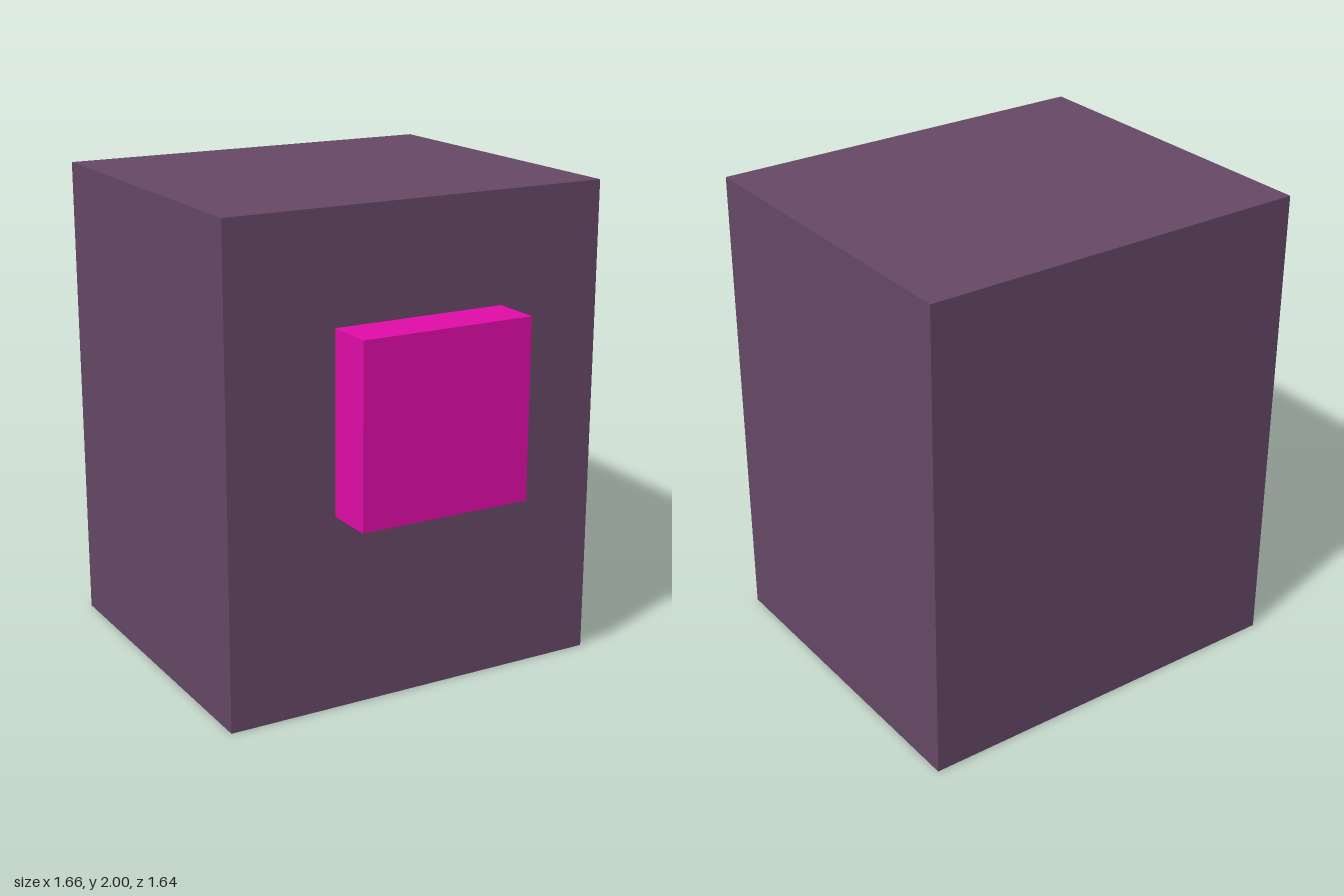
import * as THREE from 'three';

// Box given by its minimum and maximum corners
function block(name, color, min, max) {
  const size = max.map((v, i) => v - min[i]);
  const mesh = new THREE.Mesh(
    new THREE.BoxGeometry(...size),
    new THREE.MeshStandardMaterial({ color })
  );
  mesh.name = name;
  mesh.position.set(...max.map((v, i) => (v + min[i]) / 2));
  return mesh;
}

export function createModel() {
  const group = new THREE.Group();
  group.name = 'blockWithFrontPanel';

  // Main upright block
  group.add(block('body', 0x654866, [-0.828, 0, -0.818], [0.828, 2, 0.61]));

  // Raised square panel on the front
  group.add(block('frontPanel', 0xe00ca6, [-0.37, 0.802, 0.61], [0.37, 1.545, 0.818]));

  return group;
}
